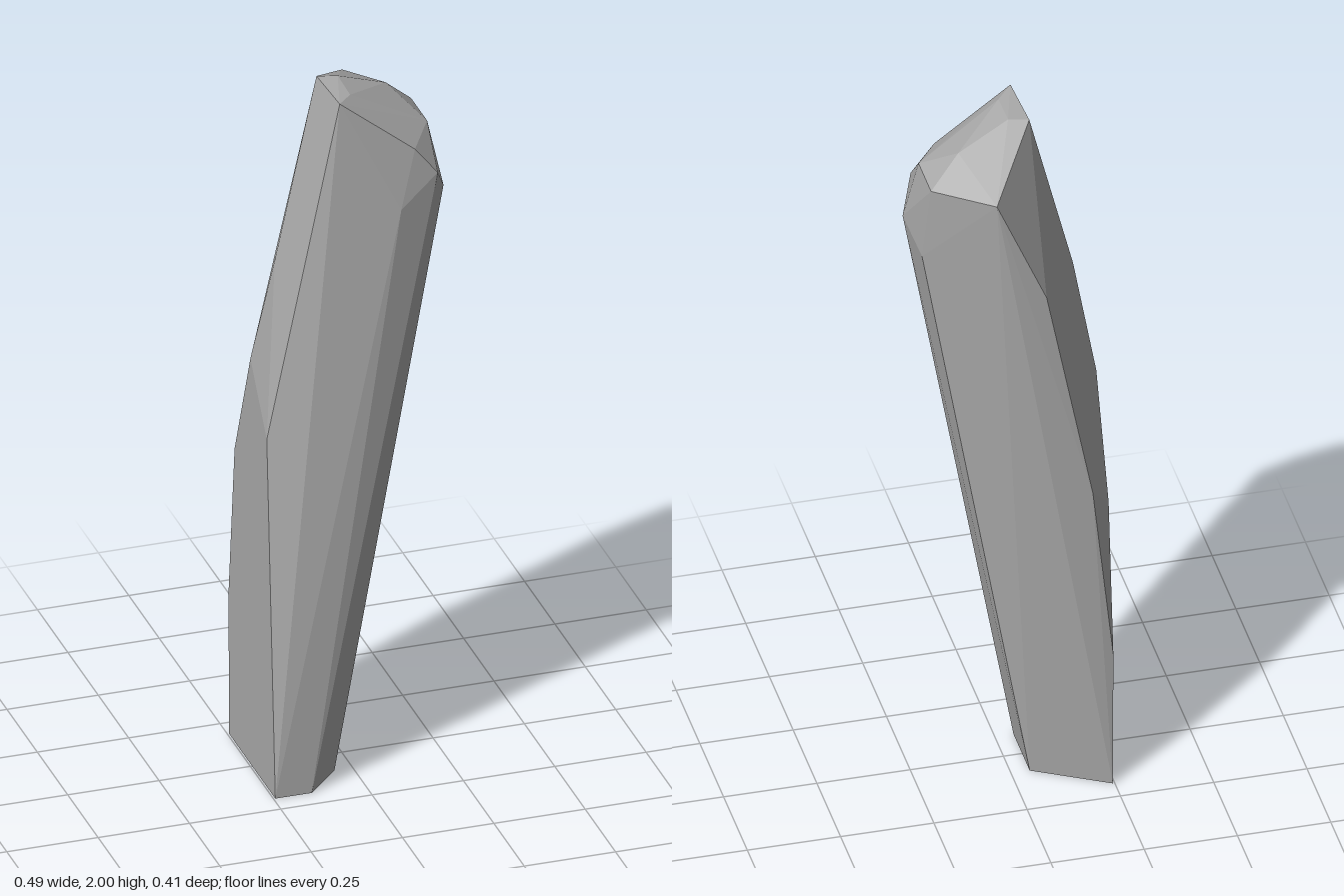
import * as THREE from 'three';
import { ConvexGeometry } from 'three/addons/geometries/ConvexGeometry.js';

// Corner rings of the faceted stone pillar, from the ground up: [x, y, z]
const foot = [
  [-0.245, 0, -0.19], [-0.245, 0, 0.19], [-0.145, 0, 0.19],
  [-0.05, 0, 0.09], [-0.05, 0, -0.08],
];
const leftChamfers = [
  [-0.245, 0.41, -0.195], [-0.245, 0.86, -0.145], [-0.187, 0.94, -0.207],
  [-0.245, 1.19, -0.015], [-0.245, 1.02, 0.12],
  [-0.197, 1.5, 0.042], [-0.063, 1.58, -0.208],
];
const shoulder = [
  [0.222, 1.63, -0.015], [0.243, 1.68, 0.107], [0.095, 1.68, 0.205],
  [0.203, 1.76, 0.18], [0.14, 1.84, 0.182],
  [0.208, 1.86, 0.077], [0.208, 1.86, -0.055], [0.07, 1.89, -0.208],
];
const crown = [
  [0.125, 1.94, -0.015], [-0.07, 2, 0.003], [-0.062, 2, 0.17],
  [-0.017, 2, 0.018], [-0.017, 1.995, 0.12],
];

export function createModel() {
  const model = new THREE.Group();
  model.name = 'leaningRock';

  const stone = new THREE.MeshStandardMaterial({ color: 0xaaaaaa });
  stone.name = 'grey stone';

  // One convex, hard-edged body
  const points = [...foot, ...leftChamfers, ...shoulder, ...crown]
    .map((p) => new THREE.Vector3(...p));
  const rock = new THREE.Mesh(new ConvexGeometry(points), stone);
  rock.name = 'rockPillar';
  model.add(rock);

  return model;
}
